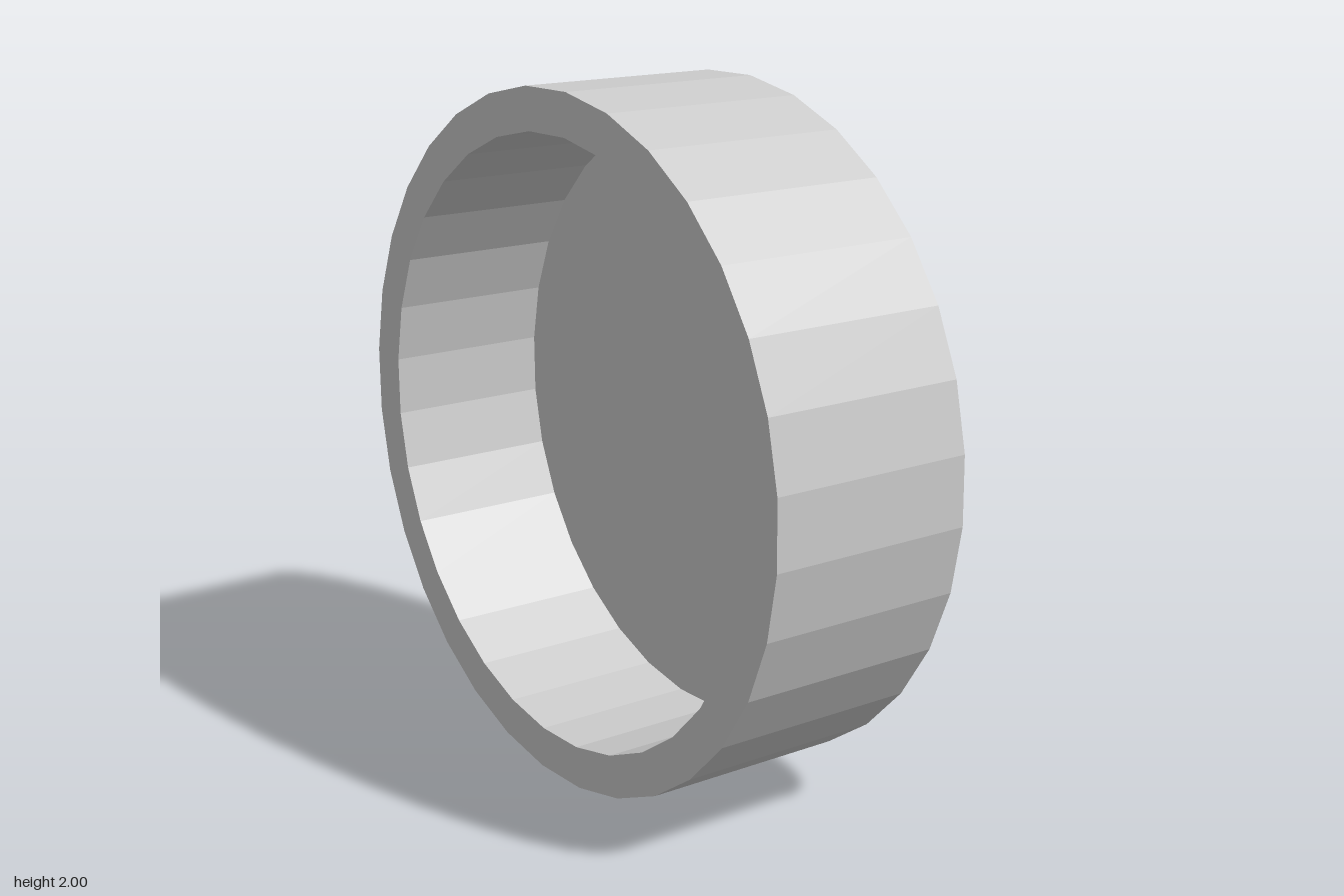
import * as THREE from 'three';

const SIDES = 32;
const OUTER = 1.003;      // corner radius of the rim
const INNER = 0.88;       // radius of the recess
const HALF = 0.31;        // half of the width along x
const FLOOR = 0.19;       // where the recess ends
const TURN = THREE.MathUtils.degToRad(6.7);

export function createModel() {
  const group = new THREE.Group();
  group.name = 'roundCap';

  // Closed cup section: recess floor, inner wall, rim, outer wall, closed face
  const profile = [
    [0, FLOOR], [INNER, FLOOR], [INNER, -HALF],
    [OUTER, -HALF], [OUTER, HALF], [0, HALF],
  ].map(([r, h]) => new THREE.Vector2(r, h));

  // Lay the axis along x, closed face towards +x
  const geometry = new THREE.LatheGeometry(profile, SIDES, -TURN);
  geometry.rotateZ(-Math.PI / 2);

  const material = new THREE.MeshStandardMaterial({ color: 0xcccccc, flatShading: true });
  const cup = new THREE.Mesh(geometry, material);
  cup.name = 'hollowCup';
  cup.position.y = 1;
  group.add(cup);
  return group;
}
